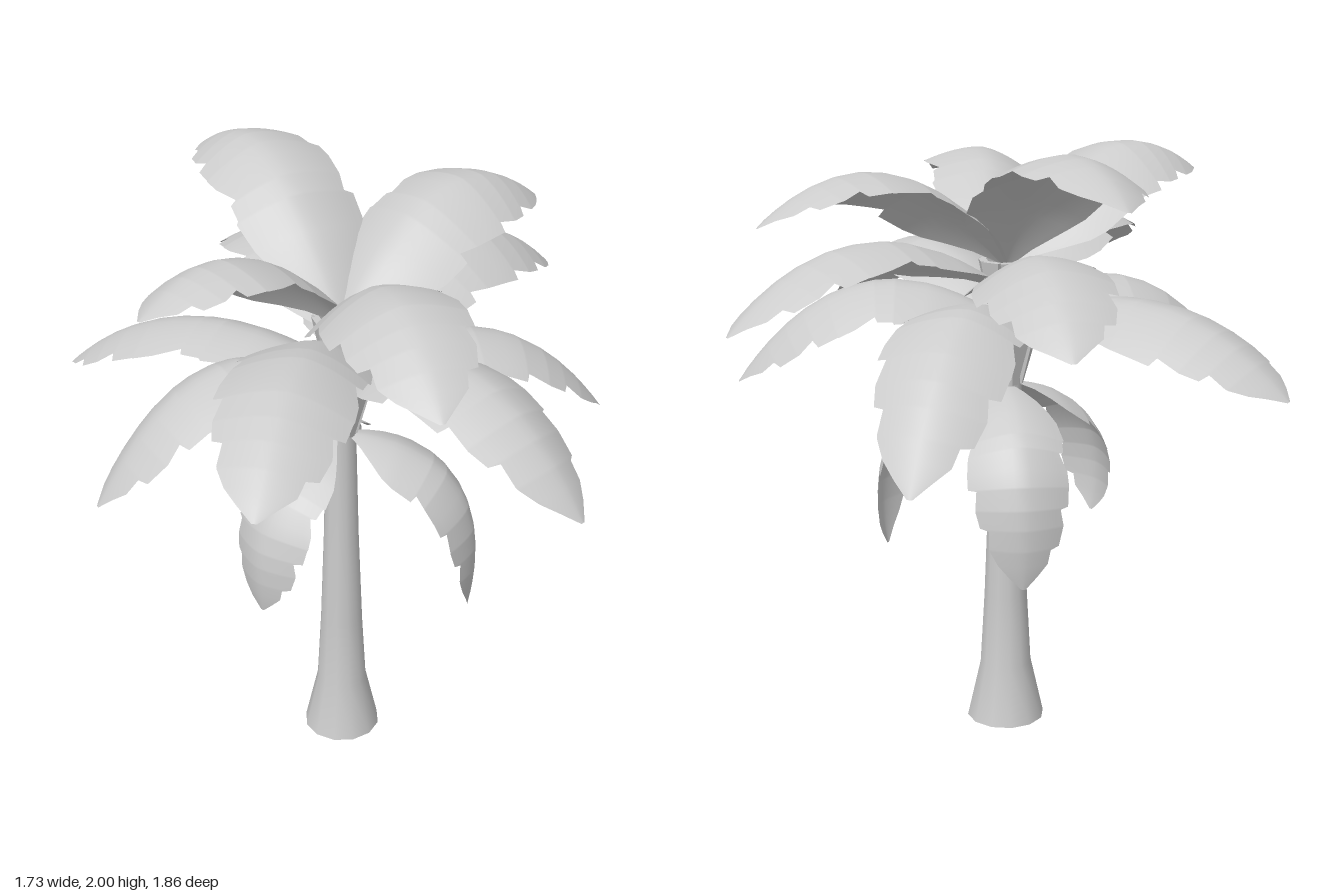
import * as THREE from 'three';

const AXIS_X = -0.04;
const material = new THREE.MeshStandardMaterial({ color: 0xcccccc, side: THREE.DoubleSide });

// Jagged outline: [position along the midrib, left width, right width]
const OUTLINE = [
  [0, 0.1, 0.12], [0.05, 0.32, 0.42], [0.1, 0.54, 0.7], [0.16, 0.74, 0.95], [0.22, 0.88, 1.06],
  [0.33, 0.97, 1.1], [0.34, 0.93, 0.94], [0.41, 0.92, 1.03], [0.42, 0.82, 1.04], [0.52, 0.97, 1.08],
  [0.6, 0.99, 1.08], [0.61, 0.98, 0.92], [0.7, 0.95, 0.95], [0.71, 0.78, 0.95], [0.78, 0.84, 0.87],
  [0.79, 0.83, 0.7], [0.86, 0.74, 0.7], [0.87, 0.56, 0.68], [0.92, 0.5, 0.52], [0.96, 0.28, 0.3],
  [1, 0.04, 0.04],
];
const COLUMNS = 12;

// An arched leaf swept along a quadratic midrib, rounded across its width
function leafGeometry({ tip, baseY, midY, baseR, reach, width = 0.2, roll = 0 }) {
  const end = new THREE.Vector3(...tip);
  const out = new THREE.Vector3(end.x - AXIS_X, 0, end.z);
  const span = out.length();
  out.normalize();
  const start = new THREE.Vector3(AXIS_X, baseY, 0).addScaledVector(out, baseR);
  const control = new THREE.Vector3(AXIS_X, 2 * midY - (baseY + end.y) / 2, 0)
    .addScaledVector(out, span * reach);
  const rib = new THREE.QuadraticBezierCurve3(start, control, end);
  const level = new THREE.Vector3(0, 1, 0).cross(out);

  const positions = [], index = [];
  OUTLINE.forEach(([t, left, right], row) => {
    const center = rib.getPoint(t), tangent = rib.getTangent(t);
    const side = level.clone().applyAxisAngle(tangent, roll);
    const up = tangent.clone().cross(side);
    for (let c = 0; c <= COLUMNS; c++) {
      const u = (c / COLUMNS) * 2 - 1;
      const d = u * (u > 0 ? left : right);
      const p = center.clone().addScaledVector(side, width * d)
        .addScaledVector(up, -0.38 * width * Math.abs(d) ** 1.6);
      positions.push(p.x, p.y, p.z);
      if (row && c) {
        const b = row * (COLUMNS + 1) + c, a = b - COLUMNS - 1;
        index.push(a - 1, a, b, a - 1, b, b - 1);
      }
    }
  });
  const geometry = new THREE.BufferGeometry();
  geometry.setAttribute('position', new THREE.Float32BufferAttribute(positions, 3));
  geometry.setIndex(index);
  geometry.computeVertexNormals();
  return geometry;
}

// A slab that leans outward and widens towards its top
function stubGeometry(y0, y1, r0, r1, w0, w1, depth) {
  const h = y1 - y0;
  const geometry = new THREE.BoxGeometry(1, h, depth).translate(0, h / 2, 0);
  const pos = geometry.attributes.position;
  for (let i = 0; i < pos.count; i++) {
    const s = pos.getY(i) / h;
    pos.setX(i, pos.getX(i) * THREE.MathUtils.lerp(w0, w1, s));
    pos.setZ(i, pos.getZ(i) + THREE.MathUtils.lerp(r0, r1, s));
    pos.setY(i, pos.getY(i) + y0);
  }
  geometry.computeVertexNormals();
  return geometry;
}

function ring(name, count, offset, geometry) {
  const group = new THREE.Group();
  group.name = name;
  group.position.x = AXIS_X;
  for (let i = 0; i < count; i++) {
    const stub = new THREE.Mesh(geometry, material);
    stub.name = 'leafStub';
    stub.rotation.y = ((i + offset) / count) * Math.PI * 2;
    group.add(stub);
  }
  return group;
}

export function createModel() {
  const model = new THREE.Group();
  model.name = 'palmTree';

  // Trunk: flared foot, open underneath
  const profile = [[0.132, 0], [0.087, 0.2], [0.073, 0.45], [0.06, 0.8], [0.051, 1.19], [0.06, 1.42], [0.04, 1.56], [0, 1.57]]
    .map(([r, y]) => new THREE.Vector2(r, y));
  const trunk = new THREE.Mesh(new THREE.LatheGeometry(profile, 12, Math.PI / 2), material);
  trunk.name = 'trunk';
  trunk.position.x = AXIS_X;
  model.add(trunk);

  // Crown: two tiers of cut leaf stubs
  model.add(ring('lowerCrown', 8, 0.5, stubGeometry(1.19, 1.45, 0.04, 0.108, 0.02, 0.085, 0.03)));
  model.add(ring('upperCrown', 8, 0, stubGeometry(1.42, 1.6, 0.04, 0.075, 0.03, 0.06, 0.025)));

  const top = { baseY: 1.59, baseR: 0.01, reach: 0.5 };
  const middle = { baseY: 1.52, baseR: 0.04, reach: 0.57 };
  const lower = { baseY: 1.43, baseR: 0.06, reach: 0.6 };
  const hanging = { baseY: 1.19, baseR: 0.03, reach: 1.25, width: 0.155 };
  const leaves = {
    topLeaf: [
      { ...top, tip: [-0.23, 1.89, -0.91], midY: 1.98, reach: 0.45, roll: -0.15 },
      { ...top, tip: [0.76, 1.78, -0.36], midY: 1.91, roll: 0.18 },
      { ...top, tip: [-0.05, 1.71, 0.93], midY: 1.89, roll: 0.15 },
      { ...top, tip: [-0.74, 1.84, 0.33], midY: 1.92, roll: 0.22 },
    ],
    middleLeaf: [
      { ...middle, tip: [-0.08, 1.48, -0.93], midY: 1.69, roll: 0.12 },
      { ...middle, tip: [0.86, 1.48, -0.47], midY: 1.71, roll: 0.12 },
      { ...middle, tip: [-0.57, 1.48, 0.9], midY: 1.7, roll: -0.1 },
    ],
    lowerLeaf: [
      { ...lower, tip: [0.37, 1.08, -0.84], midY: 1.48, roll: -0.12 },
      { ...lower, tip: [0.83, 1.2, 0.11], midY: 1.51, roll: -0.15 },
      { ...lower, tip: [0.42, 1.27, 0.87], midY: 1.6, reach: 0.57, roll: -0.08 },
      { ...lower, tip: [-0.87, 1.13, 0.12], midY: 1.5, roll: 0.14 },
      { ...lower, tip: [-0.8, 1.26, -0.63], midY: 1.5, roll: 0.14 },
    ],
    hangingLeaf: [
      { ...hanging, tip: [0.34, 0.57, 0.22], midY: 1.02 },
      { ...hanging, tip: [-0.37, 0.67, 0.18], midY: 1.02 },
      { ...hanging, tip: [-0.03, 0.62, -0.42], midY: 1.02 },
    ],
  };
  for (const [name, list] of Object.entries(leaves)) {
    for (const leaf of list) {
      const mesh = new THREE.Mesh(leafGeometry(leaf), material);
      mesh.name = name;
      model.add(mesh);
    }
  }
  return model;
}
